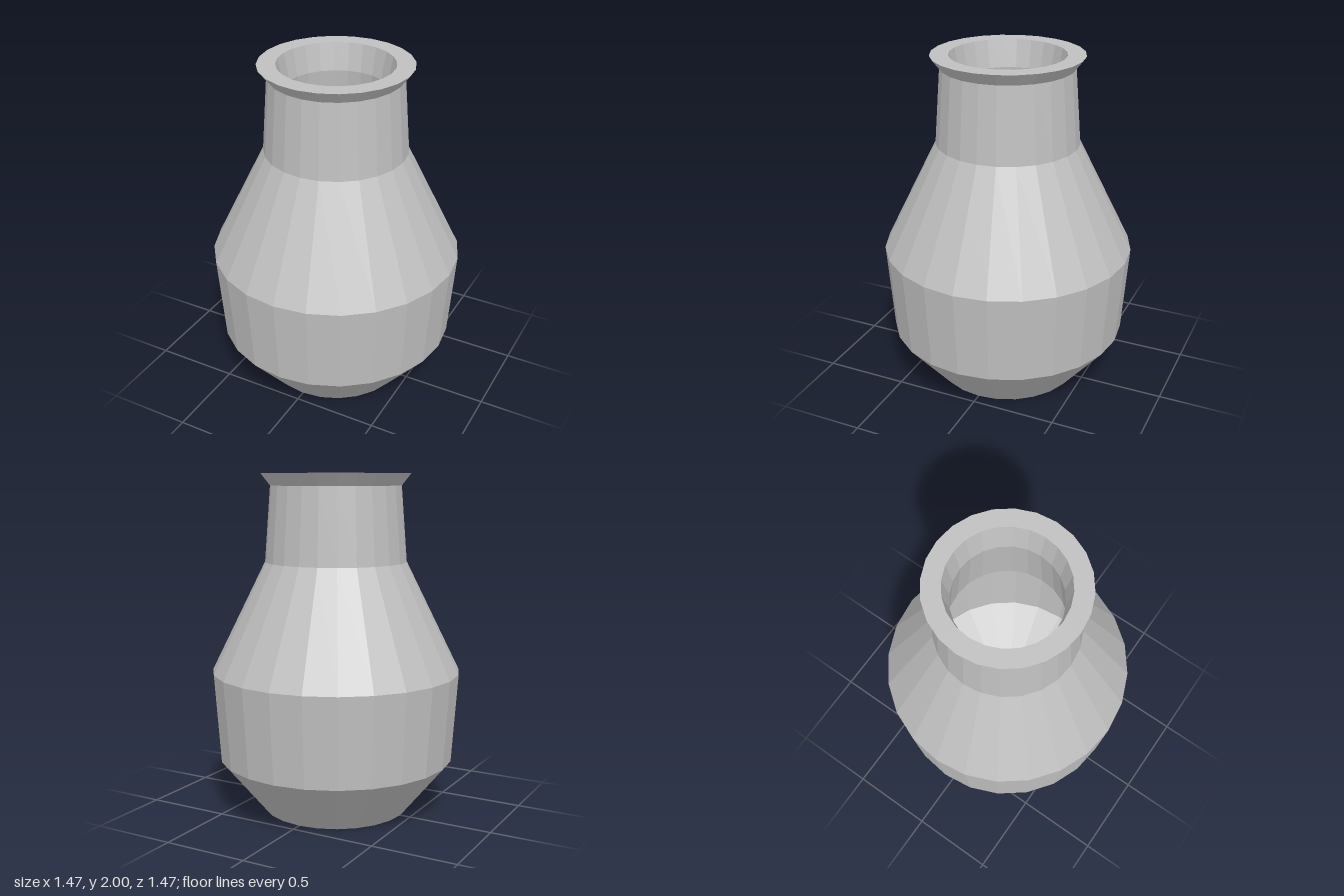
import * as THREE from 'three';

const SIDES = 24;

// Faceted ring surface; points run up the outside, over the rim and down the inside.
function facetedLathe(name, profile, material) {
  const points = profile.map(([r, y]) => new THREE.Vector2(r, y));
  const geometry = new THREE.LatheGeometry(points, SIDES).toNonIndexed();
  geometry.computeVertexNormals();
  const mesh = new THREE.Mesh(geometry, material);
  mesh.name = name;
  return mesh;
}

export function createModel() {
  const clay = new THREE.MeshStandardMaterial({ color: 0xc0c0c0 });
  clay.name = 'grey clay';

  const vase = new THREE.Group();
  vase.name = 'vase';
  vase.add(
    // Flat underside
    facetedLathe('base', [[0, 0], [0.437, 0]], clay),
    // Tapered foot, belly and shoulder
    facetedLathe('body', [[0.437, 0], [0.7, 0.32], [0.736, 0.845], [0.417, 1.49]], clay),
    facetedLathe('neck', [[0.417, 1.49], [0.383, 1.93]], clay),
    // Flared lip, flat top and inward-sloping mouth
    facetedLathe('rim', [[0.383, 1.93], [0.437, 2], [0.332, 2], [0.3, 1.84]], clay),
    // Hollow inside with a shallow conical floor
    facetedLathe('inside', [[0.3, 1.84], [0.34, 1.46], [0.65, 0.83], [0.62, 0.36], [0, 0.14]], clay),
  );
  return vase;
}
